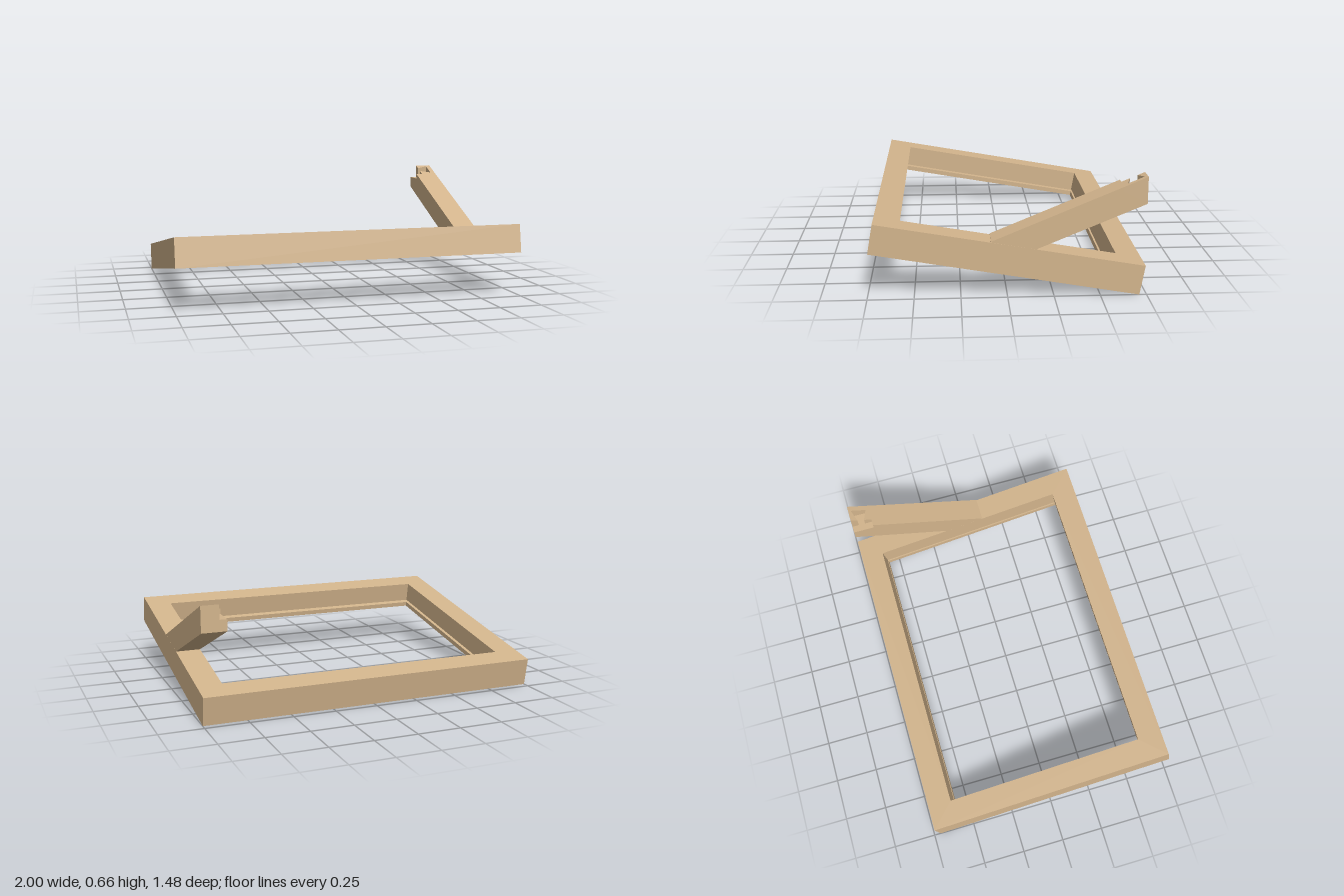
import * as THREE from 'three';

const wood = new THREE.MeshStandardMaterial({ color: 0xd2b48c, flatShading: true });

const DEPTH = 1.473, THICK = 0.166, BAR = 0.142, TILT = THREE.MathUtils.degToRad(10);
const ARM_IN = 0.858, ARM_END = 0.735, HEAD = 0.61, FLOOR = 0.575;

// Height of the arm's sloping top edge, v measured towards the back
const armTop = (v) => 0.315 + 0.4146 * (v + 0.09);

function add(group, name, geometry) {
  geometry.computeVertexNormals();
  const mesh = new THREE.Mesh(geometry, wood);
  mesh.name = name;
  group.add(mesh);
  return mesh;
}

const shapeOf = (points) => new THREE.Shape(points.map(([x, y]) => new THREE.Vector2(x, y)));

// One mitred bar of the frame: a section (inset, height) run between two corners
function mitredBar(section, from, to) {
  const at = ([sx, sz], [inset, y]) => [sx * (1 - inset), y, sz * (DEPTH / 2 - inset)];
  const positions = [];
  section.forEach((p, i) => {
    const q = section[(i + 1) % section.length];
    const a = at(from, p), b = at(to, p), c = at(to, q), d = at(from, q);
    positions.push(...a, ...b, ...c, ...a, ...c, ...d);
  });
  const geometry = new THREE.BufferGeometry();
  geometry.setAttribute('position', new THREE.Float32BufferAttribute(positions, 3));
  return geometry;
}

export function createModel() {
  const model = new THREE.Group();
  model.name = 'tiltedFrameWithArm';

  // Tilted frame with a panel groove around its inner faces
  const frame = new THREE.Group();
  frame.name = 'frame';
  frame.position.y = 0.21;
  frame.rotation.x = -TILT;
  model.add(frame);

  const h = THICK / 2, grooveLow = -h + 0.028, grooveHigh = -h + 0.045, grooveBack = BAR - 0.04;
  const section = [
    [0, -h], [0, h], [BAR, h],
    [BAR, grooveHigh], [grooveBack, grooveHigh], [grooveBack, grooveLow], [BAR, grooveLow],
    [BAR, -h],
  ];
  const corners = [[-1, 1], [1, 1], [1, -1], [-1, -1]];
  ['frontRail', 'leftStile', 'backRail', 'rightStile'].forEach((name, i) => {
    add(frame, name, mitredBar(section, corners[i], corners[(i + 1) % 4]));
  });

  // Arm rising backwards from the left stile, stepped down at its end
  const arm = new THREE.Group();
  arm.name = 'arm';
  model.add(arm);

  const beam = new THREE.ExtrudeGeometry(shapeOf([
    [-0.09, 0.311], [0.15, 0.268], [ARM_END, 0.51],
    [ARM_END, FLOOR], [HEAD, FLOOR], [HEAD, armTop(HEAD)], [-0.09, 0.315],
  ]), { depth: 1 - ARM_IN, bevelEnabled: false });
  beam.rotateY(Math.PI / 2).translate(ARM_IN, 0, 0);
  add(arm, 'armBeam', beam);

  // Raised outer cheek of the arm end, with a dovetail socket open to the inside
  const cheek = new THREE.ExtrudeGeometry(shapeOf([
    [1, HEAD], [1, ARM_END], [0.9, ARM_END], [0.9, 0.695],
    [0.97, 0.72], [0.97, 0.63], [0.9, 0.655], [0.9, HEAD],
  ]), { depth: 1, bevelEnabled: false });
  cheek.rotateX(-Math.PI / 2);
  const pos = cheek.attributes.position;
  for (let i = 0; i < pos.count; i++) {
    pos.setY(i, pos.getY(i) > 0.5 ? armTop(-pos.getZ(i)) : FLOOR);
  }
  add(arm, 'dovetailSocket', cheek);

  return model;
}
